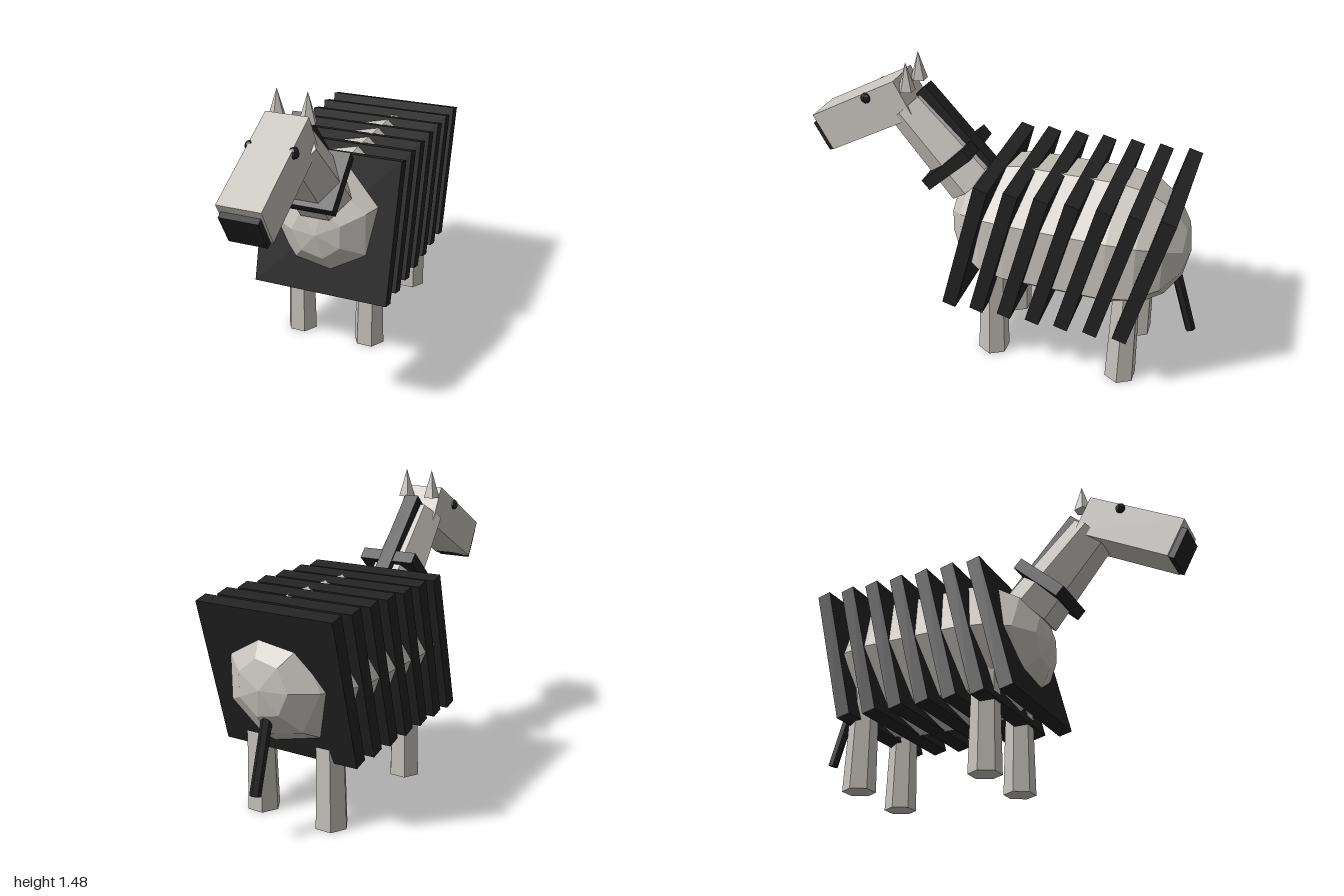
import * as THREE from 'three';

const coat = new THREE.MeshStandardMaterial({ name: 'paleCoat', color: 0xc8c4be, flatShading: true });
const dark = new THREE.MeshStandardMaterial({ name: 'darkStripe', color: 0x222222, flatShading: true });

export function createModel() {
  const group = new THREE.Group();
  group.name = 'stripedAnimal';

  // Adds a named part; tilt leans its top towards +z
  const add = (name, geometry, material, x, y, z, tilt = 0, parent = group) => {
    const mesh = new THREE.Mesh(geometry, material);
    mesh.name = name;
    mesh.position.set(x, y, z);
    mesh.rotation.x = tilt;
    parent.add(mesh);
    return mesh;
  };
  const box = (w, h, d) => new THREE.BoxGeometry(w, h, d);
  // Hexagonal prism with corners on the x axis
  const hex = (top, bottom, h) => new THREE.CylinderGeometry(top, bottom, h, 6).rotateY(Math.PI / 2);

  // Seven-sided capsule body
  add('body', new THREE.CapsuleGeometry(0.35, 0.494, 4, 7), coat, 0, 0.685, -0.331, Math.PI / 2);

  // Slanted square stripes around the body
  for (let i = 0; i < 7; i++) {
    add('bodyStripe' + (i + 1), box(0.707, 0.715, 0.07), dark, 0, 0.683, 0.096 - 0.144 * i, -0.25);
  }

  // Neck with mane and collar stripe
  const neckTilt = 0.75;
  add('neck', hex(0.12, 0.15, 0.5), coat, 0, 1.048, 0.334, neckTilt);
  add('mane', box(0.074, 0.5, 0.07), dark, 0, 1.144, 0.254, neckTilt);
  add('neckStripe', box(0.295, 0.06, 0.3), dark, 0, 0.975, 0.262, neckTilt);

  // Head sloping down to a dark muzzle
  const head = new THREE.Group();
  head.name = 'head';
  head.position.set(0, 1.171, 0.714);
  head.rotation.x = 0.5;
  group.add(head);
  add('skull', box(0.205, 0.2, 0.52), coat, 0, 0, 0, 0, head);
  add('muzzle', box(0.18, 0.16, 0.06), dark, 0, -0.02, 0.26, 0, head);

  // Mirrored eyes, ears and legs
  for (const [side, s] of [['left', 1], ['right', -1]]) {
    add(side + 'Eye', new THREE.SphereGeometry(0.027, 6, 6), dark, s * 0.1, 1.275, 0.684);
    add(side + 'Ear', new THREE.ConeGeometry(0.043, 0.14, 5), coat, s * 0.073, 1.405, 0.478);
    add(side + 'FrontLeg', hex(0.066, 0.08, 0.55), coat, s * 0.19, 0.275, 0.003);
    add(side + 'BackLeg', hex(0.066, 0.08, 0.55), coat, s * 0.19, 0.275, -0.669);
  }

  // Tail hanging behind the body
  add('tail', new THREE.CylinderGeometry(0.026, 0.026, 0.4, 6), dark, 0, 0.411, -0.912, 0.3);

  return group;
}
